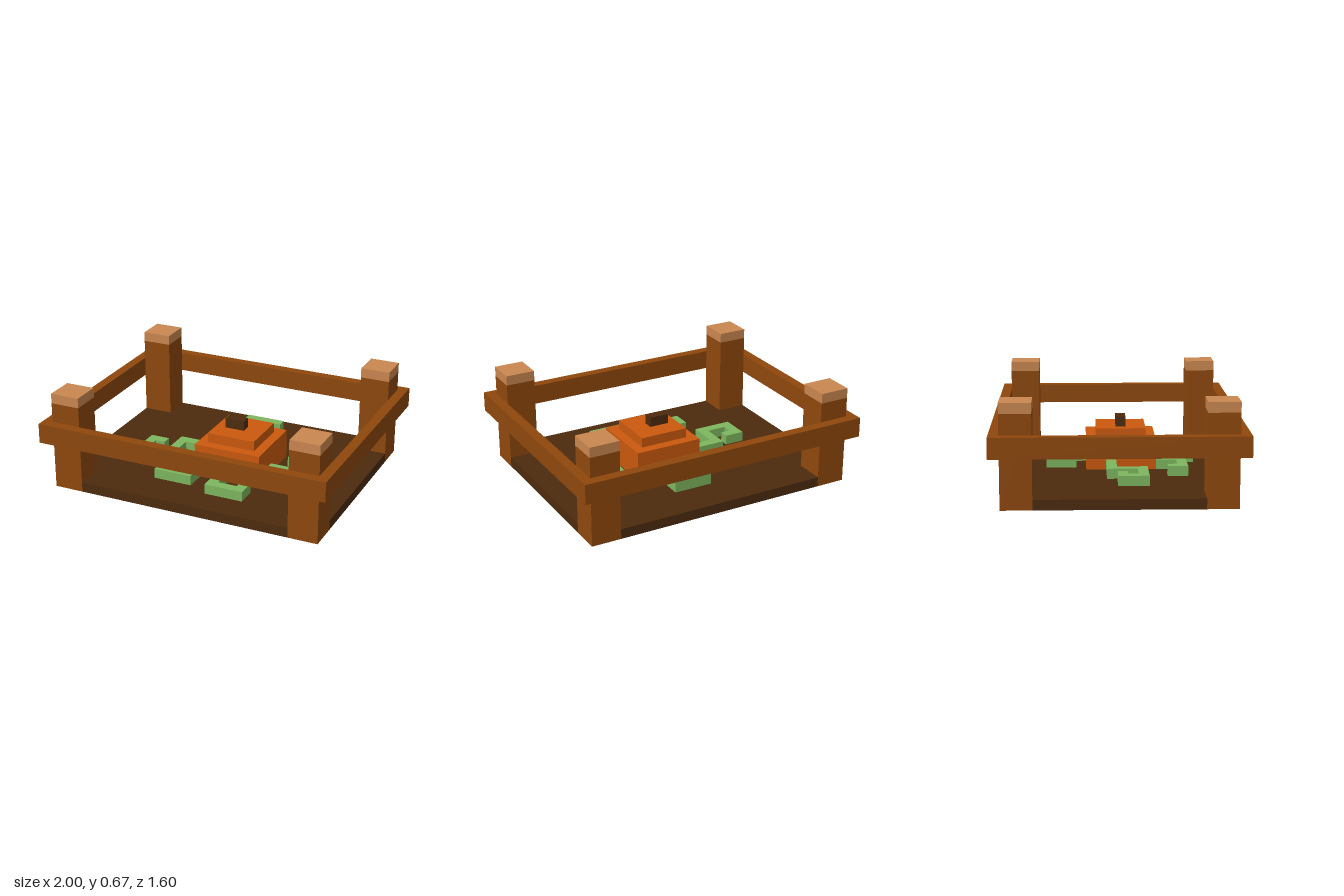
import * as THREE from 'three';

// One grid cell; the whole model is laid out on this grid.
const U = 1 / 15;

const material = (name, color) => {
  const m = new THREE.MeshStandardMaterial({ color });
  m.name = name;
  return m;
};

export function createModel() {
  const wood = material('wood', 0x8f480c);
  const paleWood = material('paleWood', 0xca8750);
  const darkBrown = material('darkBrown', 0x4d2b0d);
  const orange = material('orange', 0xcb590d);
  const green = material('green', 0x7db65f);

  const model = new THREE.Group();
  model.name = 'pumpkinPatch';

  // Box between two grid corners
  const box = (parent, name, mat, x0, x1, y0, y1, z0, z1) => {
    const geo = new THREE.BoxGeometry((x1 - x0) * U, (y1 - y0) * U, (z1 - z0) * U);
    const mesh = new THREE.Mesh(geo, mat);
    mesh.position.set((x0 + x1) / 2 * U, (y0 + y1) / 2 * U, (z0 + z1) / 2 * U);
    mesh.name = name;
    parent.add(mesh);
  };
  const group = (name) => {
    const g = new THREE.Group();
    g.name = name;
    model.add(g);
    return g;
  };

  // Soil bed, notched at the corners for the posts
  const soil = group('soil');
  box(soil, 'soilCentre', darkBrown, -14, 14, 0, 1, -8, 8);
  box(soil, 'soilFront', darkBrown, -11, 11, 0, 1, 8, 11);
  box(soil, 'soilBack', darkBrown, -11, 11, 0, 1, -11, -8);

  // Corner posts with pale caps
  const fence = group('fence');
  for (const sx of [-1, 1]) {
    for (const sz of [-1, 1]) {
      const x = sx * 12.5, z = sz * 9.5;
      box(fence, 'post', wood, x - 1.5, x + 1.5, 0, 9, z - 1.5, z + 1.5);
      box(fence, 'postCap', paleWood, x - 1.5, x + 1.5, 9, 10, z - 1.5, z + 1.5);
    }
  }

  // Rails around the outside of the posts
  for (const s of [-1, 1]) {
    box(fence, 'longRail', wood, -15, 15, 5, 7, s * 11.5 - 0.5, s * 11.5 + 0.5);
    box(fence, 'sideRail', wood, s * 14.5 - 0.5, s * 14.5 + 0.5, 5, 7, -11, 11);
  }

  // Stepped pumpkin and stem
  const pumpkin = group('pumpkin');
  box(pumpkin, 'pumpkinBody', orange, -2, 5, 1, 4, -3, 4);
  box(pumpkin, 'pumpkinTop', orange, -1, 4, 4, 5, -2, 3);
  box(pumpkin, 'stem', darkBrown, 0, 2, 5, 6, 0, 1);

  // Curling vines: segments as [x0, x1, z0, z1, top height]
  const vines = {
    backVine: [[2, 3, -6, -3], [-1, 3, -7, -6, 3], [-1, 0, -6, -4]],
    rightVine: [[-6, -2, -1, 0], [-6, -5, 0, 2], [-9, -5, 2, 3], [-9, -8, 0, 2], [-8, -7, 0, 1]],
    leftVine: [[5, 8, 1, 2], [7, 8, -2, 1], [6, 7, -2, -1]],
    frontRightVine: [[-2, -1, 4, 6], [-5, -1, 6, 7], [-5, -4, 5, 6]],
    frontLeftVine: [[1, 2, 4, 7], [1, 5, 7, 8], [4, 5, 6, 7]],
  };
  for (const [name, segments] of Object.entries(vines)) {
    const vine = group(name);
    for (const [x0, x1, z0, z1, top = 2] of segments) {
      box(vine, 'vineSegment', green, x0, x1, 1, top, z0, z1);
    }
  }

  return model;
}
